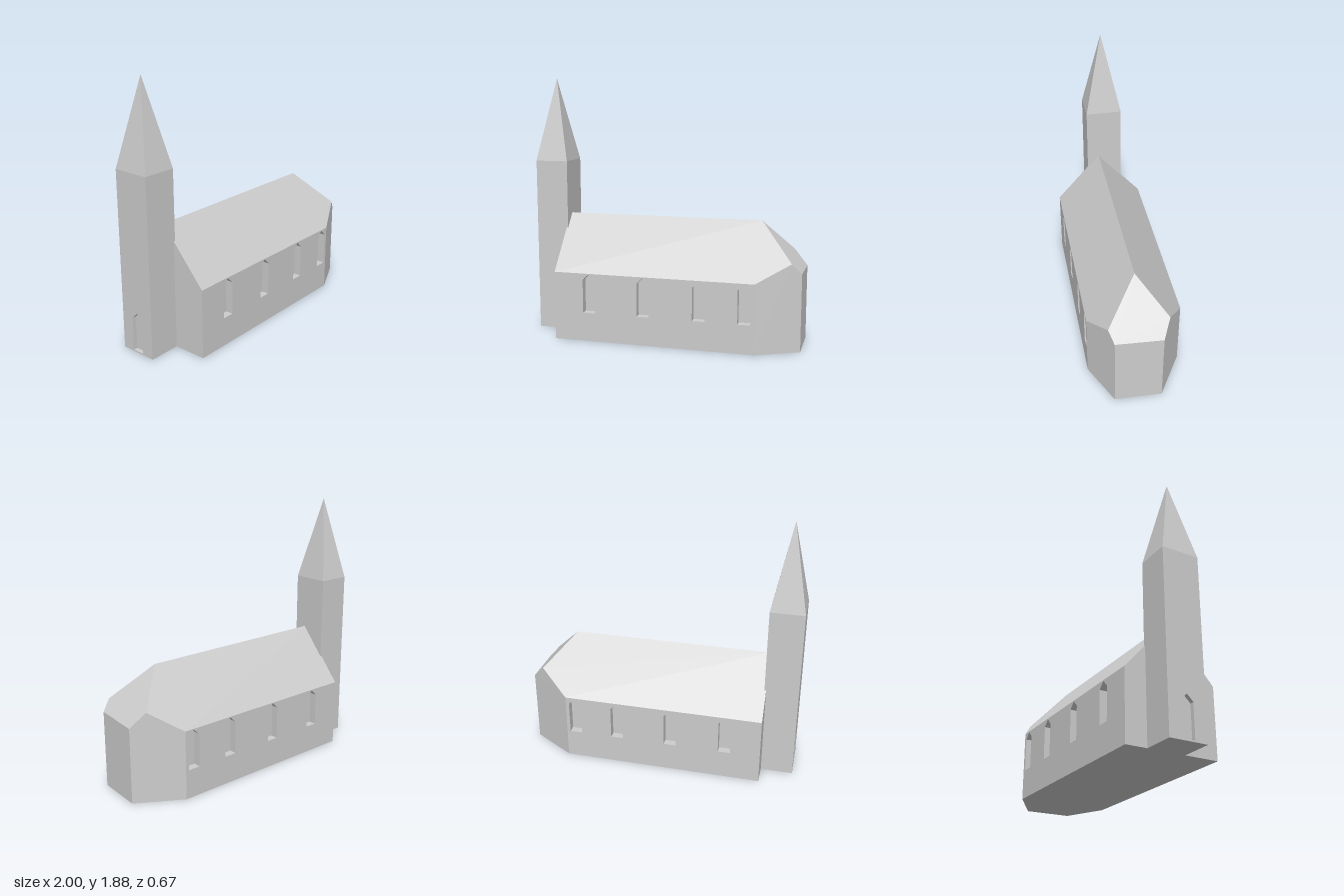
import * as THREE from 'three';
import { mergeGeometries } from 'three/addons/utils/BufferGeometryUtils.js';

const stone = new THREE.MeshStandardMaterial({ color: 0xcccccc });
stone.name = 'pale grey stone';

// Flat faces, each a convex loop of [x, y, z] corners, counter-clockwise from outside
function facesGeometry(faces) {
  const pos = [];
  for (const f of faces)
    for (let i = 1; i < f.length - 1; i++) pos.push(...f[0], ...f[i], ...f[i + 1]);
  const g = new THREE.BufferGeometry();
  g.setAttribute('position', new THREE.Float32BufferAttribute(pos, 3));
  g.computeVertexNormals();
  return g;
}

function part(name, geometry) {
  const m = new THREE.Mesh(geometry, stone);
  m.name = name;
  return m;
}

// Pointed opening outline, counter-clockwise
function opening(cx, sill, width = 0.09, shoulder = 0.24, rise = 0.045) {
  const w = width / 2;
  return [[cx - w, sill], [cx + w, sill], [cx + w, sill + shoulder],
    [cx, sill + shoulder + rise], [cx - w, sill + shoulder]];
}

// Upright wall panel facing +z with recessed openings
function nichedWall(x0, x1, height, openings, depth) {
  const vec = pts => pts.map(p => new THREE.Vector2(...p));
  const shape = new THREE.Shape(vec([[x0, 0], [x1, 0], [x1, height], [x0, height]]));
  const faces = [];
  for (const o of openings) {
    shape.holes.push(new THREE.Path(vec(o)));
    o.forEach((p, i) => {
      const q = o[(i + 1) % o.length];
      faces.push([[...p, 0], [...q, 0], [...q, -depth], [...p, -depth]]);
    });
    faces.push(o.map(p => [...p, -depth]));
  }
  const front = new THREE.ShapeGeometry(shape).toNonIndexed();
  front.deleteAttribute('uv');
  return mergeGeometries([front, facesGeometry(faces)]);
}

export function createModel() {
  const model = new THREE.Group();
  model.name = 'church';

  // Nave and apse key points: F = front, B = back
  const west = -0.77, east = 0.685, half = 0.335, eave = 0.5, ridge = 0.885;
  const side = s => ({
    w0: [west, 0, s * half], w1: [west, eave, s * half],
    e0: [east, 0, s * half], e1: [east, eave, s * half],
  });
  const F = { ...side(1), peak: [0.922, 0.629, 0.2225], a0: [0.99, 0, 0.19], a1: [0.99, 0.556, 0.19] };
  const B = { ...side(-1), peak: [0.902, 0.6505, -0.204], a0: [1, 0, -0.145], a1: [1, 0.545, -0.145] };
  const r0 = [west, ridge, 0], r1 = [east, ridge, 0];

  const nave = new THREE.Group();
  nave.name = 'nave';
  nave.add(
    part('roof', facesGeometry([
      [F.w1, F.e1, F.peak, r1, r0],
      [r0, r1, B.peak, B.e1, B.w1],
      [F.a1, B.a1, B.peak, r1, F.peak],
    ])),
    part('apseWalls', facesGeometry([
      [F.e0, F.a0, F.a1, F.peak, F.e1],
      [F.a0, B.a0, B.a1, F.a1],
      [B.e1, B.peak, B.a1, B.a0, B.e0],
    ])),
    part('westGable', facesGeometry([[B.w0, F.w0, F.w1, r0, B.w1]])),
    part('naveFloor', facesGeometry([[F.w0, B.w0, B.e0, B.a0, F.a0, F.e0]])),
  );

  // Long walls with four recessed windows each
  const windows = [-0.51, -0.107, 0.295, 0.615];
  for (const s of [1, -1]) {
    const holes = windows.map(x => opening(s * x, 0.21));
    const ends = [s * west, s * east].sort((a, b) => a - b);
    const wall = part(s > 0 ? 'frontWall' : 'backWall', nichedWall(...ends, eave, holes, 0.055));
    wall.position.z = s * half;
    if (s < 0) wall.rotation.y = Math.PI;
    nave.add(wall);
  }
  model.add(nave);

  // Tower with a west door and a pyramid spire
  const x0 = -1, x1 = -0.758, z0 = -0.182, z1 = 0.09, top = 1.28;
  const zc = (z0 + z1) / 2, apex = [(x0 + x1) / 2, 1.885, zc];
  const ring = y => [[x0, y, z1], [x1, y, z1], [x1, y, z0], [x0, y, z0]];
  const low = ring(0), high = ring(top);
  const tower = new THREE.Group();
  tower.name = 'tower';
  tower.add(
    part('towerWalls', facesGeometry([
      ...[0, 1, 2].map(i => [low[i], low[i + 1], high[i + 1], high[i]]),
      [...low].reverse(),
    ])),
    part('spire', facesGeometry(high.map((p, i) => [p, high[(i + 1) % 4], apex]))),
  );
  const doorWall = part('doorWall', nichedWall(z0, z1, top, [opening(zc, 0.01)], 0.03));
  doorWall.position.x = x0;
  doorWall.rotation.y = -Math.PI / 2;
  tower.add(doorWall);
  model.add(tower);

  return model;
}
